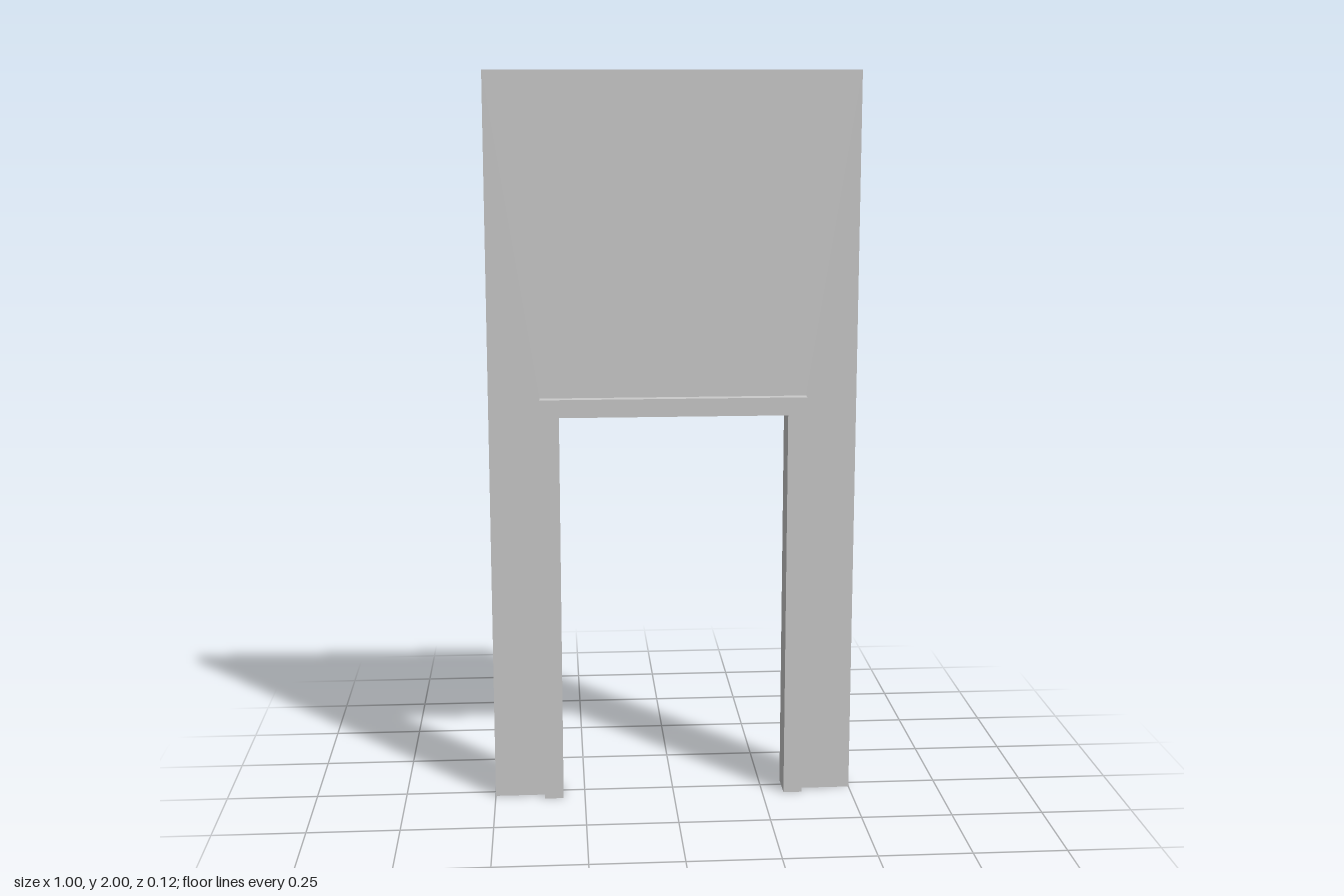
import * as THREE from 'three';

const material = new THREE.MeshStandardMaterial({ color: 0xcccccc });

// Upside-down U: a panel with a doorway open at the floor, between two depths
function archway(name, halfOuter, topOuter, halfInner, topInner, zBack, zFront) {
  const shape = new THREE.Shape([
    [-halfOuter, 0], [-halfInner, 0], [-halfInner, topInner], [halfInner, topInner],
    [halfInner, 0], [halfOuter, 0], [halfOuter, topOuter], [-halfOuter, topOuter],
  ].map(([x, y]) => new THREE.Vector2(x, y)));
  const geometry = new THREE.ExtrudeGeometry(shape, { depth: zFront - zBack, bevelEnabled: false });
  geometry.translate(0, 0, zBack);
  const mesh = new THREE.Mesh(geometry, material);
  mesh.name = name;
  return mesh;
}

export function createModel() {
  const model = new THREE.Group();
  model.name = 'wallWithDoorFrame';

  // Wall panel, butted against the outside of the frame
  model.add(archway('wall', 0.5, 2, 0.362, 1.132, -0.02, 0.03));

  // Door frame with a shallow rebate at the back for the door leaf
  const frame = new THREE.Group();
  frame.name = 'doorFrame';
  frame.add(archway('frameLining', 0.362, 1.132, 0.31, 1.083, -0.03, 0.059));
  frame.add(archway('frameRebate', 0.362, 1.132, 0.325, 1.098, -0.053, -0.03));
  model.add(frame);

  // Hinge barrels on the back edge of the left jamb
  for (const [name, y] of [['lowerHinge', 0.19], ['upperHinge', 0.912]]) {
    const hinge = new THREE.Mesh(new THREE.CylinderGeometry(0.005, 0.005, 0.056, 16), material);
    hinge.name = name;
    hinge.position.set(0.325, y, -0.055);
    model.add(hinge);
  }
  return model;
}
